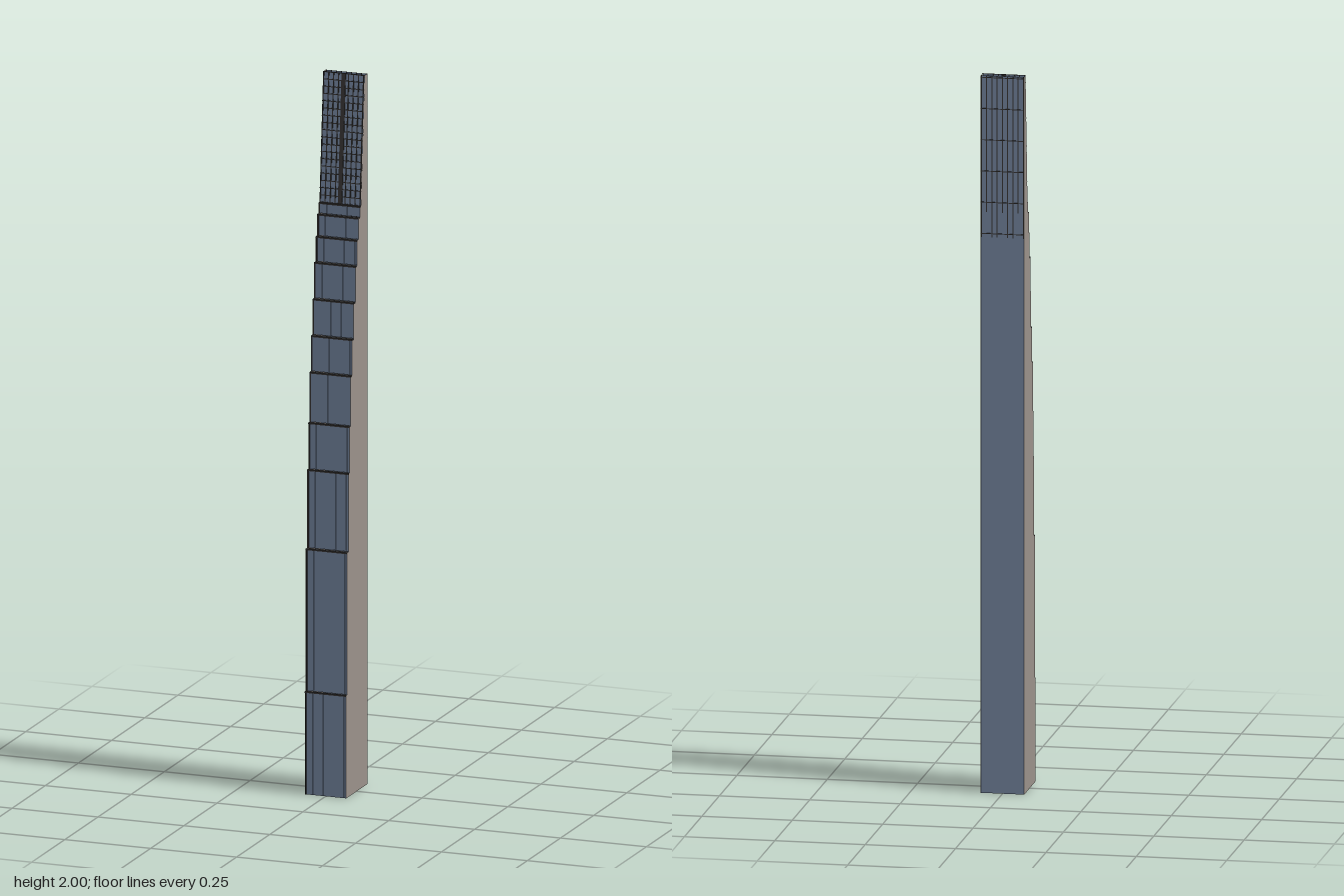
import * as THREE from 'three';

const W = 0.06, BACK = -0.08, CROWN = 1.64, TOP = 2;
// [bottom height, front z] of each setback tier
const TIERS = [[0, 0.08], [0.29, 0.073], [0.69, 0.062], [0.91, 0.054], [1.04, 0.045], [1.18, 0.034],
  [1.28, 0.022], [1.38, 0.01], [1.48, -0.002], [1.55, -0.013], [1.61, -0.024]];

export function createModel() {
  const tower = new THREE.Group();
  tower.name = 'tower';
  const mat = (name, color) => {
    const m = new THREE.MeshStandardMaterial({ color, side: THREE.DoubleSide });
    m.name = name;
    return m;
  };
  const glass = mat('blue glass', 0x6f7f98);
  const stone = mat('taupe stone', 0x9a918a);
  const dark = mat('dark metal', 0x343231);

  const add = (name, geo, m, x, y, z, parent = tower) => {
    const mesh = new THREE.Mesh(geo, m);
    mesh.name = name;
    mesh.position.set(x, y, z);
    parent.add(mesh);
    return mesh;
  };
  const box = (name, w, h, d, m, x, y, z, parent) =>
    add(name, new THREE.BoxGeometry(w, h, d), m, x, y, z, parent);

  // Stepped outline shared by both side walls
  const outline = new THREE.Shape();
  outline.moveTo(-BACK, 0);
  TIERS.forEach(([y, z], i) => {
    const end = i + 1 < TIERS.length ? TIERS[i + 1][0] : CROWN;
    outline.lineTo(-z, y);
    outline.lineTo(-z, end);
  });
  outline.lineTo(0.031, CROWN);
  outline.lineTo(0.059, TOP);
  outline.lineTo(-BACK, TOP);
  for (const s of [-1, 1]) {
    const wall = add('sideWall', new THREE.ShapeGeometry(outline), stone, s * W, 0, 0);
    wall.rotation.y = Math.PI / 2;
  }

  // Front glass tiers with vertical ribs and dark setback ledges
  TIERS.forEach(([y, z], i) => {
    const last = i + 1 === TIERS.length;
    const [end, nextZ] = last ? [CROWN, -0.031] : TIERS[i + 1];
    const h = end - y, mid = (y + end) / 2;
    add('frontGlass', new THREE.PlaneGeometry(W * 2, h), glass, 0, mid, z - 0.002);
    for (const x of [-0.045, -0.015, 0.015, 0.045])
      box('frontRib', 0.016, h - 0.004, 0.002, glass, x, mid, z - 0.001);
    box('cornerTrim', 0.003, h, 0.002, dark, -W + 0.0025, mid, z - 0.001);
    box('setbackLedge', W * 2, 0.004, z - nextZ + 0.001, dark, 0, end - 0.002, (z + nextZ) / 2);
  });

  // Back wall
  add('backWall', new THREE.PlaneGeometry(W * 2, TOP), glass, 0, TOP / 2, BACK + 0.002).rotation.y = Math.PI;

  // Back screen of the crown
  for (let i = 0; i < 9; i++) {
    const x = -W + 0.002 + i * (W * 2 - 0.004) / 8;
    const low = i % 3 === 1 ? 1.62 : 1.55;
    box('backMullion', 0.0025, TOP - low, 0.003, dark, x, (TOP + low) / 2, BACK + 0.001);
  }
  for (let i = 0; i < 6; i++)
    box('backRail', W * 2, 0.002, 0.002, dark, 0, 1.56 + i * 0.087, BACK + 0.001);

  // Sloping crown front
  const dz = -0.028, rise = TOP - CROWN;
  const slope = new THREE.Group();
  slope.name = 'crownFront';
  slope.position.set(0, CROWN + rise / 2, -0.045);
  slope.rotation.x = Math.atan2(dz, rise);
  tower.add(slope);
  const len = Math.hypot(dz, rise);
  add('crownGlass', new THREE.PlaneGeometry(W * 2 - 0.004, len), glass, 0, 0, 0, slope);
  for (let i = 0; i < 9; i++) {
    const x = -W + 0.002 + i * (W * 2 - 0.004) / 8;
    box('crownMullion', i === 4 ? 0.012 : 0.0025, len, 0.003, dark, x, 0, 0.001, slope);
  }
  for (let i = 0; i <= 18; i++)
    box('crownRail', W * 2, 0.0022, 0.002, dark, 0, -len / 2 + i * len / 18, 0.001, slope);

  // Narrow roof with a recessed slot between the two screens
  add('roof', new THREE.PlaneGeometry(W * 2, 0.02), dark, 0, TOP - 0.006, -0.069).rotation.x = -Math.PI / 2;
  box('roofStrip', 0.1, 0.003, 0.006, glass, 0, TOP - 0.004, -0.069);

  return tower;
}
